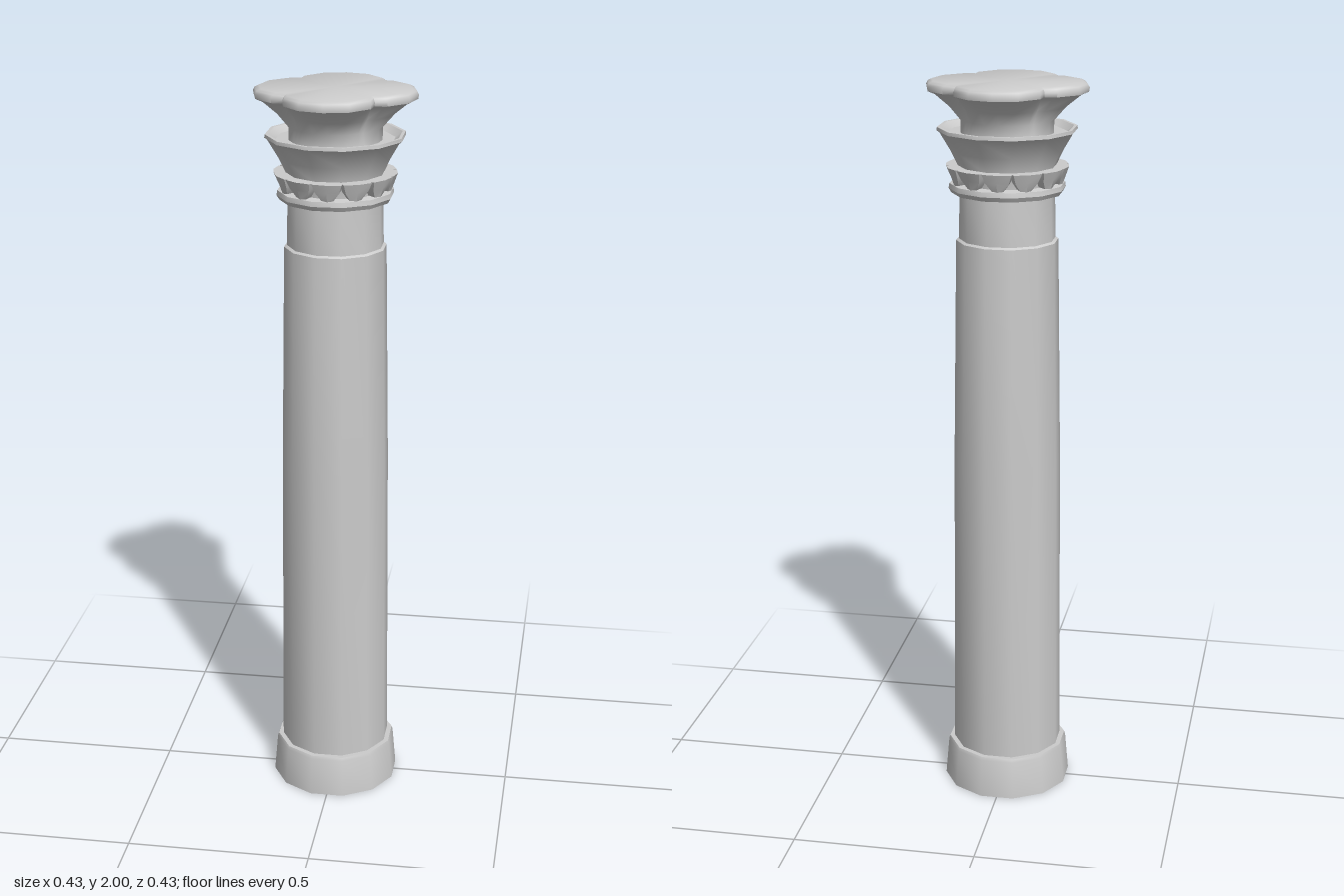
import * as THREE from 'three';
import { toCreasedNormals } from 'three/addons/utils/BufferGeometryUtils.js';

const SIDES = 12;
const material = new THREE.MeshStandardMaterial({ color: 0xcccccc, side: THREE.DoubleSide });

function makeMesh(name, geometry, crease = 0.65) {
  const mesh = new THREE.Mesh(toCreasedNormals(geometry, crease), material);
  mesh.name = name;
  return mesh;
}

// Twelve-sided turned part; radii are measured to the flats
function turned(name, profile) {
  const k = 1 / Math.cos(Math.PI / SIDES);
  const points = profile.map(([r, y]) => new THREE.Vector2(r * k, y));
  return makeMesh(name, new THREE.LatheGeometry(points, SIDES, Math.PI / SIDES));
}

// Skin over closed rings of equal length, listed from bottom to top, capped on top
function loft(rings) {
  const n = rings[0].length;
  const positions = rings.flat(2);
  const index = [];
  for (let j = 0; j < rings.length - 1; j++) {
    for (let i = 0; i < n; i++) {
      const a = j * n + i, b = j * n + (i + 1) % n;
      index.push(a, b, b + n, a, b + n, a + n);
    }
  }
  const top = (rings.length - 1) * n, centre = positions.length / 3;
  positions.push(0, rings.at(-1)[0][1], 0);
  for (let i = 0; i < n; i++) index.push(top + i, top + (i + 1) % n, centre);
  const geometry = new THREE.BufferGeometry();
  geometry.setAttribute('position', new THREE.Float32BufferAttribute(positions, 3));
  geometry.setIndex(index);
  geometry.computeVertexNormals();
  return geometry;
}

// Four-lobed top slab flaring out of a round neck
function createAbacus() {
  // angle in degrees and radius over one quarter
  const lobe = [[0, 0.216], [18, 0.21], [37, 0.187], [45, 0.166], [53, 0.187], [72, 0.21]];
  // height, offset from the lobed outline, blend from circle to lobes
  const levels = [
    [1.865, 0, 0], [1.9, -0.01, 0.12], [1.935, -0.01, 0.45], [1.967, -0.012, 0.9],
    [1.975, -0.002, 1], [1.986, 0, 1], [1.995, -0.005, 1], [2, -0.016, 1],
  ];
  const rings = levels.map(([y, offset, blend]) => {
    const ring = [];
    for (let q = 0; q < 4; q++) {
      for (const [degrees, radius] of lobe) {
        const a = THREE.MathUtils.degToRad(degrees + q * 90);
        const r = THREE.MathUtils.lerp(0.123, radius, blend) + offset;
        ring.push([r * Math.sin(a), y, r * Math.cos(a)]);
      }
    }
    return ring;
  });
  return makeMesh('abacus', loft(rings), 0.9);
}

// Crown of small leaves, wide at the top and narrow at the foot
function createLeaves() {
  const group = new THREE.Group();
  group.name = 'leafCrown';
  const geometry = new THREE.BoxGeometry(1, 1, 1, 2, 2, 1);
  const p = geometry.attributes.position;
  for (let i = 0; i < p.count; i++) {
    const t = p.getY(i) + 0.5;
    const u = p.getX(i) * 2;
    const width = 0.014 + 0.025 * Math.min(1, t * 1.35);
    const outer = 0.147 + 0.017 * t - 0.007 * Math.abs(u);
    p.setXYZ(i, u * width, 1.732 + 0.048 * t, p.getZ(i) > 0 ? outer : 0.122);
  }
  geometry.computeVertexNormals();
  for (let i = 0; i < SIDES; i++) {
    const leaf = makeMesh('leaf', geometry);
    leaf.rotation.y = (i / SIDES) * Math.PI * 2;
    group.add(leaf);
  }
  return group;
}

export function createModel() {
  const column = new THREE.Group();
  column.name = 'column';
  column.add(
    turned('base', [[0.172, 0], [0.163, 0.108], [0.16, 0.117], [0.145, 0.117]]),
    turned('shaft', [[0.147, 0.1], [0.141, 0.98], [0.132, 1.58], [0.124, 1.585]]),
    turned('neck', [[0.125, 1.57], [0.122, 1.72]]),
    turned('collar', [[0.12, 1.708], [0.143, 1.708], [0.15, 1.72], [0.148, 1.733], [0.125, 1.737]]),
    createLeaves(),
    // flared bell with a thin rim and a sunken seat
    turned('bell', [[0.122, 1.73], [0.124, 1.775], [0.145, 1.82], [0.172, 1.867],
      [0.179, 1.872], [0.178, 1.881], [0.17, 1.881], [0.152, 1.866], [0.115, 1.866]]),
    createAbacus(),
  );
  return column;
}
